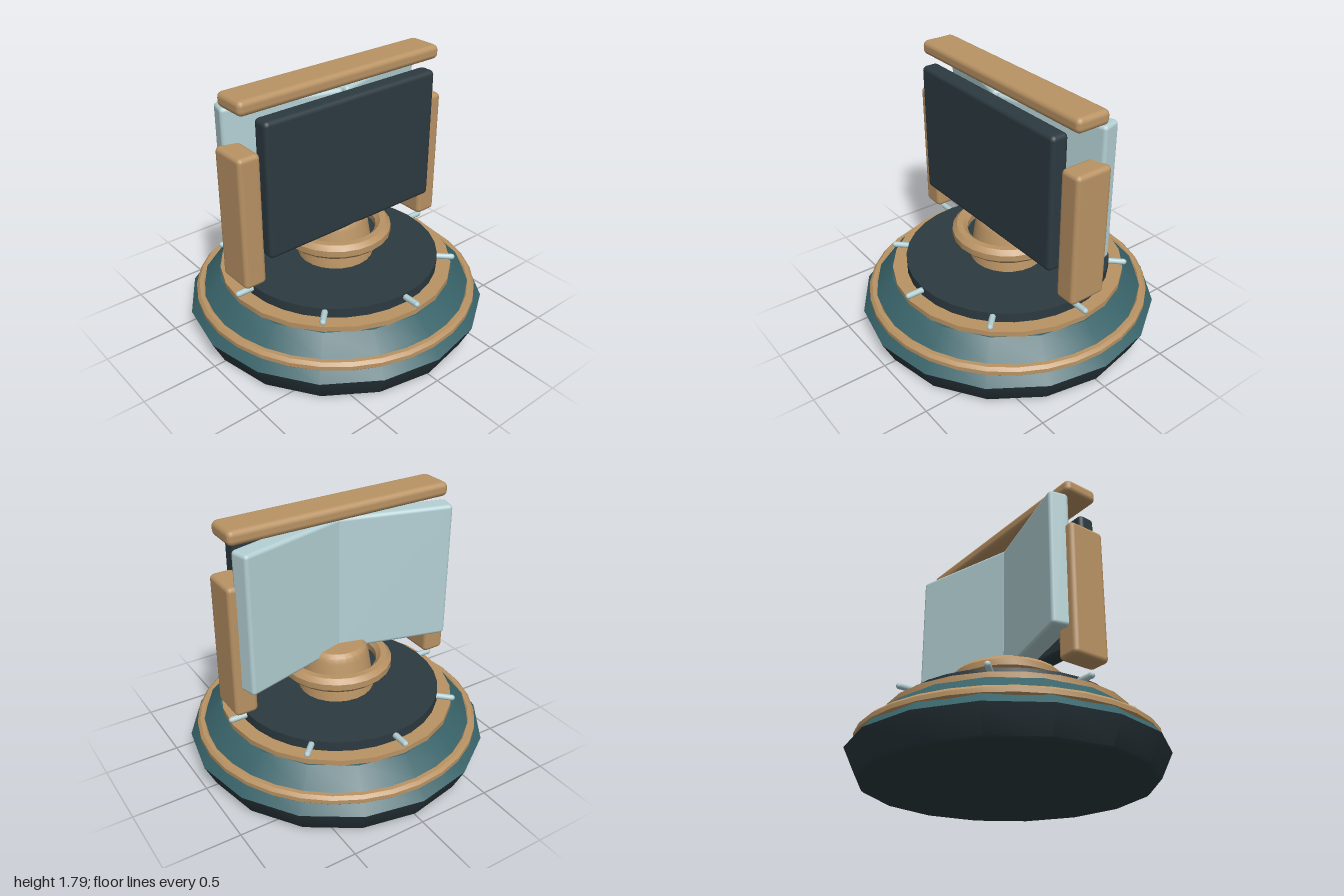
import * as THREE from 'three';
import { toCreasedNormals } from 'three/addons/utils/BufferGeometryUtils.js';
import { RoundedBoxGeometry } from 'three/addons/geometries/RoundedBoxGeometry.js';

function material(name, color) {
  const m = new THREE.MeshStandardMaterial({ color });
  m.name = name;
  return m;
}

export function createModel() {
  const dark = material('charcoal', 0x2c3a40);
  const teal = material('teal', 0x386369);
  const copper = material('copper', 0xb99364);
  const pale = material('pale blue', 0xb4d0d4);

  const model = new THREE.Group();
  model.name = 'panelTurntable';

  function add(name, geometry, mat, x = 0, y = 0, z = 0) {
    const mesh = new THREE.Mesh(geometry, mat);
    mesh.name = name;
    mesh.position.set(x, y, z);
    model.add(mesh);
    return mesh;
  }

  // Turned part from [radius, height] pairs, listed bottom to top
  function turned(name, profile, sides, mat) {
    const points = profile.map(([r, y]) => new THREE.Vector2(r, y));
    return add(name, toCreasedNormals(new THREE.LatheGeometry(points, sides), 0.5), mat);
  }

  // Ring with an octagonal section, flats facing outward and up
  function ring(name, radius, y, tubeR, tubeY, sides, mat) {
    const profile = [];
    for (let i = 0; i <= 8; i++) {
      const a = ((i + 0.5) * Math.PI) / 4;
      profile.push([radius + (Math.cos(a) * tubeR) / 0.924, y + (Math.sin(a) * tubeY) / 0.924]);
    }
    return turned(name, profile, sides, mat);
  }

  function box(name, w, h, d, radius, mat, x, y, z) {
    return add(name, new RoundedBoxGeometry(w, h, d, 2, radius), mat, x, y, z);
  }

  // Stepped round base
  turned('foot', [[0, 0], [0.91, 0], [0.925, 0.012], [1, 0.17], [0, 0.17]], 16, dark);
  turned('slopedBase', [[1, 0.17], [0.9, 0.285], [0.79, 0.39], [0, 0.39]], 16, teal);
  ring('baseRing', 0.917, 0.25, 0.033, 0.033, 32, copper);
  turned('copperBand', [[0.78, 0.385], [0.78, 0.425], [0, 0.425]], 24, copper);
  turned('turntable', [[0, 0.425], [0.685, 0.425], [0.685, 0.49], [0, 0.49]], 32, dark);

  // Eight index pegs around the turntable
  for (let i = 0; i < 8; i++) {
    const a = (i * Math.PI) / 4;
    const peg = add('indexPeg', new THREE.CapsuleGeometry(0.02, 0.11, 3, 8), pale,
      Math.sin(a) * 0.73, 0.467, Math.cos(a) * 0.73);
    peg.rotation.set(Math.PI / 2, 0, -a, 'XYZ');
  }

  // Tapered pivot and its collar
  turned('pivotColumn', [[0.255, 0.48], [0.213, 0.745], [0.2, 0.78], [0.175, 0.802], [0, 0.802]], 24, copper);
  ring('pivotCollar', 0.318, 0.672, 0.05, 0.05, 24, copper);

  // Flat front plate
  box('frontPlate', 0.12, 0.895, 1.325, 0.03, dark, 0.14, 1.213, 0);

  // Two back panels folded in a shallow V, and the posts at their ends
  for (const side of [1, -1]) {
    const panel = box('foldedPanel', 0.135, 0.925, 0.775, 0.025, pale, -0.065, 1.213, side * 0.3715);
    panel.rotation.y = -side * 0.263;
    box('sidePost', 0.26, 0.885, 0.155, 0.03, copper, 0, 1.008, side * 0.728);
  }

  // Top rail
  box('topRail', 0.24, 0.095, 1.55, 0.035, copper, 0, 1.738, 0);

  return model;
}
